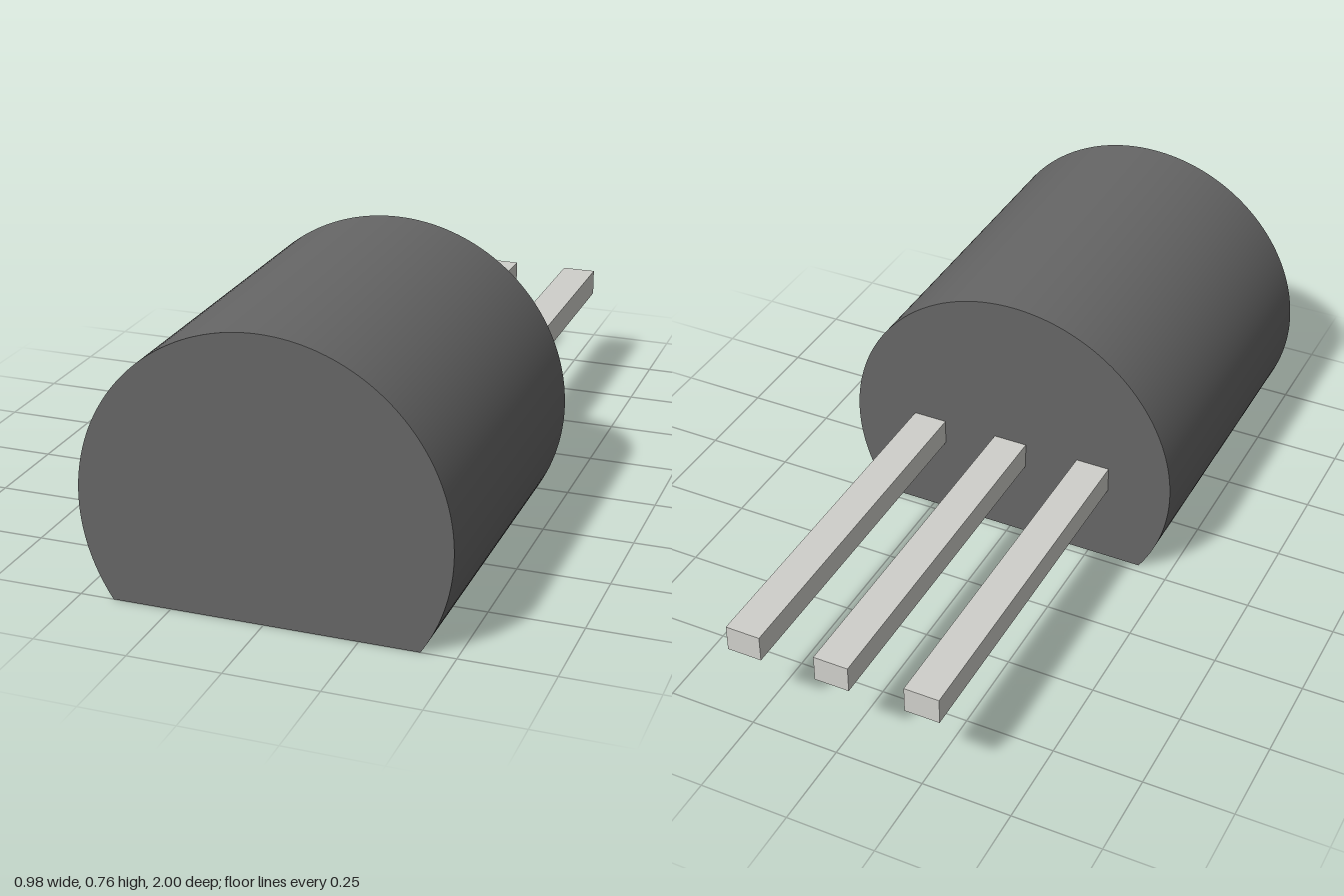
import * as THREE from 'three';
import { toCreasedNormals } from 'three/addons/utils/BufferGeometryUtils.js';

export function createModel() {
  const model = new THREE.Group();
  model.name = 'transistor';
  const plastic = new THREE.MeshStandardMaterial({ color: 0x666666 });
  const metal = new THREE.MeshStandardMaterial({ color: 0xd0d0cb });

  // Body: a round profile cut flat along the bottom, extruded along z
  const radius = 0.491, centreY = 0.273, backZ = 0.025, frontZ = 1;
  const cut = Math.asin(centreY / radius);
  const profile = new THREE.Shape();
  profile.absarc(0, centreY, radius, -cut, Math.PI + cut, false);
  profile.closePath();
  const bodyGeometry = new THREE.ExtrudeGeometry(profile, {
    depth: frontZ - backZ, bevelEnabled: false, curveSegments: 64,
  });
  const body = new THREE.Mesh(toCreasedNormals(bodyGeometry, 0.5), plastic);
  body.name = 'body';
  body.position.z = backZ;
  model.add(body);

  // Leads: three straight square-cut pins out of the back face
  const leadLength = 1 + backZ;
  const leadGeometry = new THREE.BoxGeometry(0.098, 0.075, leadLength);
  ['rightLead', 'middleLead', 'leftLead'].forEach((name, i) => {
    const lead = new THREE.Mesh(leadGeometry, metal);
    lead.name = name;
    lead.position.set((i - 1) * 0.256, 0.275, backZ - leadLength / 2);
    model.add(lead);
  });

  return model;
}
